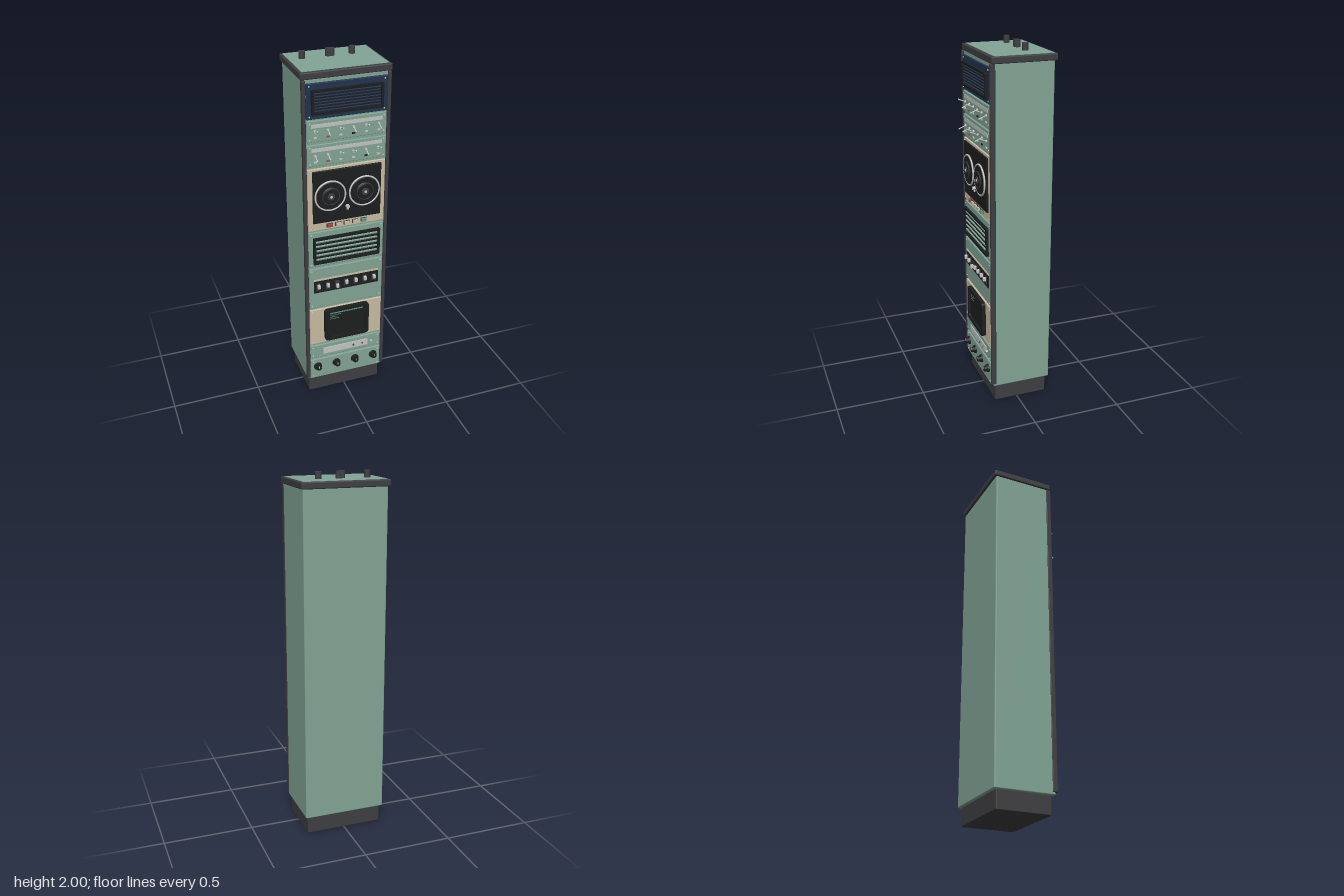
import * as THREE from 'three';
import { RoundedBoxGeometry } from 'three/addons/geometries/RoundedBoxGeometry.js';

const mat = (name, color) => Object.assign(new THREE.MeshStandardMaterial({ color }), { name });

export function createModel() {
  const green = mat('cabinet green', 0x82a596);
  const dark = mat('dark trim', 0x3f3e42);
  const black = mat('black', 0x1d1e1f);
  const tan = mat('tan', 0xc9bca2);
  const navy = mat('navy', 0x22344f);
  const light = mat('light metal', 0xc4c6c3);
  const red = mat('red', 0xa8493f);
  const teal = mat('bright green', 0x5f9c85);

  const root = new THREE.Group();
  root.name = 'equipmentRack';
  const F = 0.156; // front plane of the panels

  const add = (name, geo, m, x, y, z, parent = root) => {
    const mesh = new THREE.Mesh(geo, m);
    mesh.name = name;
    mesh.position.set(x, y, z);
    parent.add(mesh);
    return mesh;
  };
  // box given by its extents
  const box = (name, m, x0, x1, y0, y1, z0, z1, r = 0, parent = root) => {
    const s = [x1 - x0, y1 - y0, z1 - z0];
    const geo = r ? new RoundedBoxGeometry(...s, 2, r) : new THREE.BoxGeometry(...s);
    return add(name, geo, m, (x0 + x1) / 2, (y0 + y1) / 2, (z0 + z1) / 2, parent);
  };
  // round part standing out from the front, from z0 to z1
  const dial = (name, m, x, y, r0, r1, z0, z1, seg = 16, parent = root) => {
    const geo = new THREE.CylinderGeometry(r1, r0, z1 - z0, seg).rotateX(Math.PI / 2);
    return add(name, geo, m, x, y, (z0 + z1) / 2, parent);
  };
  // rectangular frame with an open middle
  const frame = (name, m, w, h, t, depth, x, y, z, corner = 0.004, parent = root) => {
    const rect = (path, a, b, c) => path.moveTo(-a + c, -b).lineTo(a - c, -b)
      .quadraticCurveTo(a, -b, a, -b + c).lineTo(a, b - c)
      .quadraticCurveTo(a, b, a - c, b).lineTo(-a + c, b)
      .quadraticCurveTo(-a, b, -a, b - c).lineTo(-a, -b + c)
      .quadraticCurveTo(-a, -b, -a + c, -b);
    const s = rect(new THREE.Shape(), w / 2, h / 2, corner);
    s.holes.push(rect(new THREE.Path(), w / 2 - t, h / 2 - t, corner * 0.7));
    const geo = new THREE.ExtrudeGeometry(s, { depth, bevelEnabled: false, curveSegments: 5 });
    return add(name, geo, m, x, y, z, parent);
  };
  // rack panel with a screw in each corner
  const panel = (name, m, y0, y1) => {
    const g = new THREE.Group();
    g.name = name;
    root.add(g);
    box('plate', m, -0.215, 0.215, y0, y1, 0.14, F, 0.003, g);
    for (const x of [-0.2, 0.2]) for (const y of [y0 + 0.014, y1 - 0.014])
      dial('screw', light, x, y, 0.005, 0.004, F - 0.002, F + 0.003, 8, g);
    return g;
  };

  // cabinet
  box('plinth', dark, -0.217, 0.217, 0, 0.11, -0.174, 0.13, 0.005);
  box('cabinet', green, -0.232, 0.232, 0.1, 1.93, -0.19, 0.146, 0.007);
  box('cap', dark, -0.242, 0.242, 1.924, 1.96, -0.202, 0.152, 0.006);
  box('capInset', green, -0.229, 0.229, 1.955, 1.962, -0.188, 0.134);
  for (const s of [-1, 1])
    box('frontRail', dark, s * 0.227 - 0.009, s * 0.227 + 0.009, 0.115, 1.925, 0.13, 0.158, 0.004);
  for (const x of [-0.16, -0.019, -0.001, 0.11])
    add('cableGland', new THREE.CylinderGeometry(0.0165, 0.0165, 0.042, 20), dark, x, 1.979, -0.075);

  // louvred vents
  const vent = (name, slatMat, parent, y0, y1, count, thick) => {
    const h = y1 - y0, cy = (y0 + y1) / 2;
    box(name + 'Back', black, -0.185, 0.185, y0 + 0.004, y1 - 0.004, F - 0.004, F + 0.003, 0, parent);
    frame(name + 'Frame', black, 0.382, h, 0.013, 0.015, 0, cy, F, 0.004, parent);
    for (let i = 0; i < count; i++) {
      const y = y0 + 0.013 + (i + 0.5) * (h - 0.026) / count;
      const slat = box('slat', slatMat, -0.177, 0.177, y - thick / 2, y + thick / 2, F + 0.001, F + 0.01, 0, parent);
      slat.rotation.x = 0.3;
    }
  };
  vent('upperVent', navy, panel('upperVentPanel', navy, 1.72, 1.905), 1.744, 1.874, 7, 0.003);
  vent('lowerVent', green, panel('lowerVentPanel', green, 0.868, 1.08), 0.888, 1.048, 5, 0.008);

  // toggle switch panels
  [[1.598, 1.712, 0b010101], [1.465, 1.582, 0b101100]].forEach(([y0, y1, ups], row) => {
    const g = panel('togglePanel', green, y0, y1);
    box('labelStrip', light, -0.192, 0.192, y1 - 0.038, y1 - 0.018, F - 0.002, F + 0.002, 0, g);
    for (let i = 0; i < 6; i++) {
      const x = -0.172 + i * 0.0688, y = y0 + 0.058;
      dial('toggleNut', light, x, y, 0.008, 0.007, F, F + 0.008, 6, g);
      const up = (ups >> i) & 1 ? 1 : -1;
      const lever = dial('toggleLever', light, x, y + up * 0.008, 0.0025, 0.004, F + 0.002, F + 0.044, 8, g);
      lever.rotation.x = -up * 0.4;
      const lit = i === (row ? 4 : 3);
      box('indicator', lit ? black : i === 1 ? red : light, x - 0.008, x + 0.008, y0 + 0.02, y0 + 0.028, F, F + 0.006, 0, g);
    }
  });

  // tape deck
  const deck = panel('tapeDeck', tan, 1.09, 1.45);
  box('deckPlate', black, -0.19, 0.19, 1.137, 1.437, F - 0.002, F + 0.009, 0.003, deck);
  for (const x of [-0.096, 0.094]) {
    const y = 1.293;
    dial('reelFlange', black, x, y, 0.084, 0.076, F + 0.008, F + 0.02, 40, deck);
    add('reelRim', new THREE.TorusGeometry(0.083, 0.005, 8, 48), light, x, y, F + 0.015, deck);
    dial('reelCore', black, x, y, 0.05, 0.042, F + 0.02, F + 0.028, 32, deck);
    add('reelRing', new THREE.TorusGeometry(0.046, 0.0025, 6, 36), dark, x, y, F + 0.026, deck);
    dial('reelHub', dark, x, y, 0.021, 0.019, F + 0.028, F + 0.032, 20, deck);
    dial('reelSpindle', light, x, y, 0.009, 0.007, F + 0.03, F + 0.035, 12, deck);
  }
  dial('tapeHead', light, 0, 1.217, 0.011, 0.01, F + 0.005, F + 0.025, 12, deck);
  box('headGuide', light, -0.005, 0.005, 1.198, 1.218, F + 0.005, F + 0.018, 0, deck);
  for (let i = 0; i < 5; i++) {
    const x = -0.096 + i * 0.048;
    box('keySurround', dark, x - 0.017, x + 0.017, 1.103, 1.125, F - 0.002, F + 0.003, 0, deck);
    box('deckKey', i === 4 ? teal : i === 0 ? red : tan, x - 0.013, x + 0.013, 1.106, 1.122, F, F + 0.014, 0, deck);
  }

  // selector panel
  const sel = panel('selectorPanel', green, 0.6, 0.853);
  box('selectorStrip', black, -0.19, 0.19, 0.7, 0.776, F - 0.002, F + 0.005, 0, sel);
  box('selectorTrim', tan, -0.19, 0.19, 0.776, 0.785, F - 0.002, F + 0.005, 0, sel);
  for (let i = 0; i < 7; i++) {
    const x = -0.165 + i * 0.0545, y = i === 2 ? 0.73 : 0.745;
    box('rockerBase', dark, x - 0.012, x + 0.012, 0.718, 0.76, F, F + 0.009, 0, sel);
    box('rocker', light, x - 0.008, x + 0.008, y - 0.011, y + 0.011, F, F + 0.025, 0.003, sel);
  }

  // monitor with a few lines of glowing traces
  const mon = panel('monitorPanel', tan, 0.35, 0.585);
  frame('bezel', black, 0.264, 0.208, 0.02, 0.022, 0, 0.476, F, 0.022, mon);
  box('screen', black, -0.116, 0.116, 0.388, 0.564, F - 0.002, F + 0.01, 0.004, mon);
  box('screenTrace', teal, -0.1, 0.1, 0.544, 0.551, F + 0.008, F + 0.011, 0, mon);
  [0.07, 0.04, 0.055].forEach((w, i) =>
    box('screenTrace', teal, -0.1, -0.1 + w, 0.533 - i * 0.012, 0.536 - i * 0.012, F + 0.008, F + 0.011, 0, mon));

  // label panel
  const lab = panel('labelPanel', green, 0.252, 0.337);
  box('labelPlate', light, -0.14, 0.136, 0.272, 0.312, F - 0.002, F + 0.005, 0, lab);
  [[0.045, dark], [0.1, red], [0.158, light]].forEach(([x, m]) =>
    dial('lamp', m, x, 0.292, 0.007, 0.005, F, F + 0.011, 12, lab));

  // control knobs
  const ctl = panel('knobPanel', green, 0.108, 0.238);
  for (let i = 0; i < 4; i++) {
    const x = -0.173 + i * 0.1145, y = 0.19;
    dial('knobSkirt', black, x, y, 0.024, 0.022, F, F + 0.01, 24, ctl);
    dial('knob', black, x, y, 0.017, 0.015, F + 0.01, F + 0.028, 20, ctl);
    box('knobPointer', light, x - 0.002, x + 0.002, y, y + 0.014, F + 0.027, F + 0.029, 0, ctl);
  }
  return root;
}
